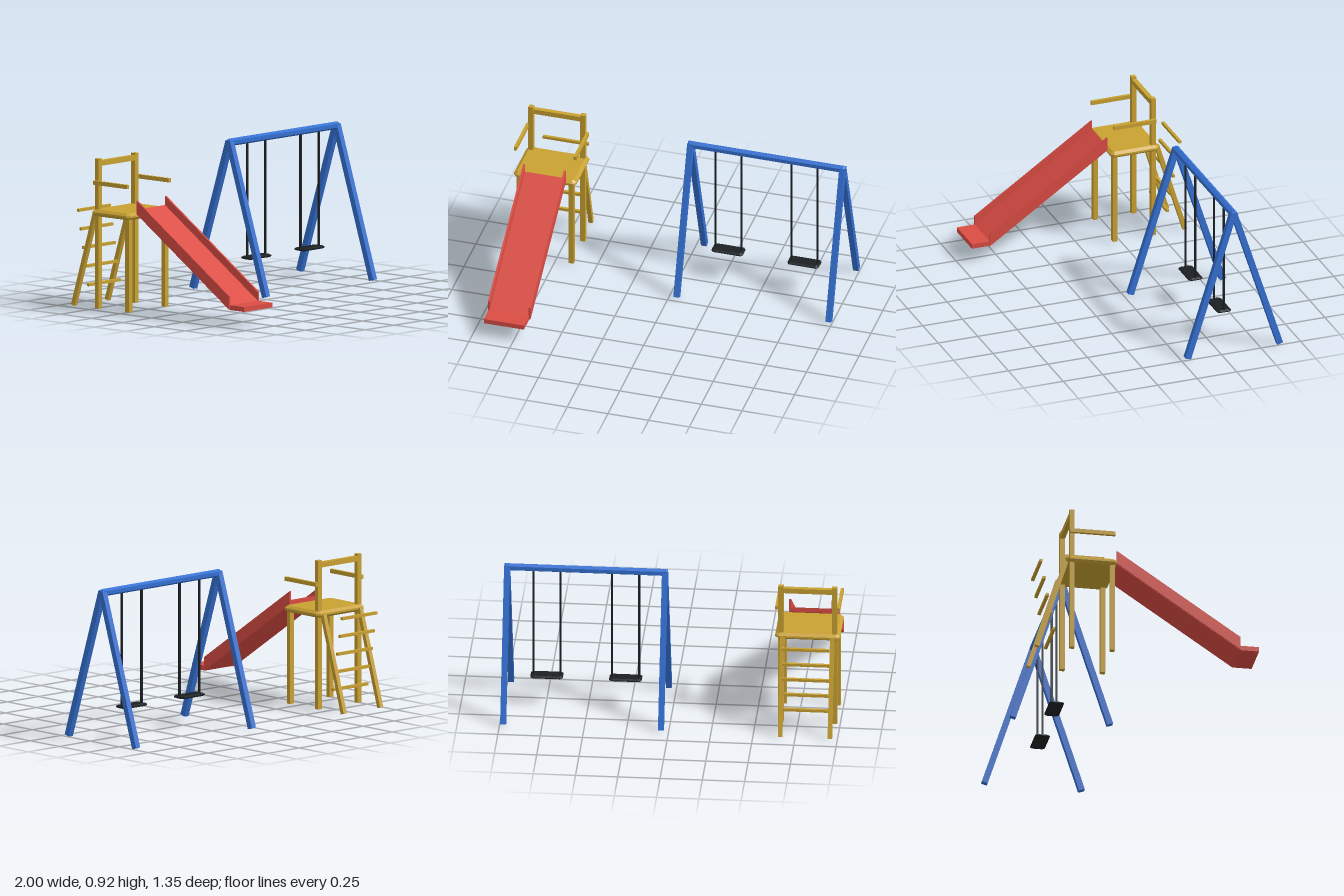
import * as THREE from 'three';

export function createModel() {
  const material = (name, color) => {
    const m = new THREE.MeshStandardMaterial({ color, flatShading: true });
    m.name = name;
    return m;
  };
  const blue = material('blue frame paint', 0x3470d2);
  const yellow = material('yellow tower paint', 0xc9a132);
  const red = material('red slide', 0xda4c43);
  const black = material('black rubber', 0x1c2023);

  const model = new THREE.Group();
  model.name = 'playground';
  const group = (name) => {
    const g = new THREE.Group();
    g.name = name;
    model.add(g);
    return g;
  };
  const add = (parent, name, geometry, mat) => {
    const mesh = new THREE.Mesh(geometry, mat);
    mesh.name = name;
    parent.add(mesh);
    return mesh;
  };
  // Box given by its size and centre
  const box = (parent, name, mat, w, h, d, x, y, z) => {
    const mesh = add(parent, name, new THREE.BoxGeometry(w, h, d), mat);
    mesh.position.set(x, y, z);
    return mesh;
  };
  // Square bar leaning in the yz plane, from foot to top
  const leaningBar = (parent, name, mat, w, d, x, y0, z0, y1, z1) => {
    const length = Math.hypot(y1 - y0, z1 - z0);
    const mesh = box(parent, name, mat, w, length, d, x, (y0 + y1) / 2, (z0 + z1) / 2);
    mesh.rotation.x = Math.atan2(z1 - z0, y1 - y0);
    return mesh;
  };
  // Flat slab with chamfered edges and clipped corners
  const slab = (parent, name, mat, w, h, d, bevel, x, y, z) => {
    const a = w / 2 - bevel, b = d / 2 - bevel, c = bevel * 0.5;
    const shape = new THREE.Shape([
      [-a + c, -b], [a - c, -b], [a, -b + c], [a, b - c],
      [a - c, b], [-a + c, b], [-a, b - c], [-a, -b + c],
    ].map(([px, py]) => new THREE.Vector2(px, py)));
    const thickness = h * 0.36;
    const g = new THREE.ExtrudeGeometry(shape, {
      depth: h - 2 * thickness, bevelThickness: thickness, bevelSize: bevel, bevelSegments: 1,
    });
    g.rotateX(-Math.PI / 2).center();
    add(parent, name, g, mat).position.set(x, y, z);
  };
  // Side profile of [z, y] points extruded across x
  const sideProfile = (parent, name, mat, points, x0, x1) => {
    const shape = new THREE.Shape(points.map(([z, y]) => new THREE.Vector2(-z, y)));
    const g = new THREE.ExtrudeGeometry(shape, { depth: x1 - x0, bevelEnabled: false });
    g.rotateY(Math.PI / 2).translate(x0, 0, 0);
    add(parent, name, g, mat);
  };

  // Swing frame: hexagonal beam with chamfered ends and two A-frames
  const swing = group('swingSet');
  const swingZ = -0.333;
  const r = 0.023, beamLength = 0.966;
  const beamProfile = [[0, 0], [r * 0.65, 0], [r, 0.01], [r, beamLength - 0.01], [r * 0.65, beamLength], [0, beamLength]]
    .map(([px, py]) => new THREE.Vector2(px, py));
  const beam = add(swing, 'topBeam', new THREE.LatheGeometry(beamProfile, 6, Math.PI / 2), blue);
  beam.rotation.z = -Math.PI / 2;
  beam.position.set(0.029, 0.899, swingZ);
  for (const x of [0.0455, 0.979]) {
    for (const s of [-1, 1]) {
      leaningBar(swing, 'frameLeg', blue, 0.034, 0.036, x, 0.006, swingZ + s * 0.291, 0.908, swingZ);
    }
  }

  // Two swings, each a seat on two ropes
  for (const x of [0.278, 0.744]) {
    slab(swing, 'swingSeat', black, 0.192, 0.018, 0.088, 0.012, x, 0.194, swingZ);
    for (const s of [-1, 1]) {
      box(swing, 'swingRope', black, 0.011, 0.69, 0.011, x + s * 0.08, 0.545, swingZ);
    }
  }

  // Tower: posts, platform, back rail and side handrails
  const tower = group('tower');
  const towerX = -0.809;
  slab(tower, 'platform', yellow, 0.384, 0.04, 0.307, 0.018, towerX, 0.58, -0.335);
  for (const s of [-1, 1]) {
    const x = towerX + s * 0.159;
    box(tower, 'frontPost', yellow, 0.031, 0.565, 0.029, x, 0.2925, -0.212);
    box(tower, 'backPost', yellow, 0.031, 0.892, 0.029, x, 0.456, -0.454);
    box(tower, 'handrail', yellow, 0.018, 0.024, 0.27, towerX + s * 0.183, 0.76, -0.332);
  }
  box(tower, 'backRail', yellow, 0.318, 0.031, 0.028, towerX, 0.874, -0.454);

  // Ladder: leaning rails, rungs stepping outwards as they rise
  const ladder = group('ladder');
  for (const s of [-1, 1]) {
    leaningBar(ladder, 'ladderRail', yellow, 0.026, 0.026, towerX + s * 0.147, 0.008, -0.66, 0.58, -0.484);
  }
  for (let i = 0; i < 5; i++) {
    box(ladder, 'ladderRung', yellow, 0.28, 0.017, 0.017, towerX, 0.137 + i * 0.109, -0.556 - i * 0.0195);
  }

  // Slide: sloping bed, side walls and flat run-out
  const slide = group('slide');
  const topZ = -0.178, footZ = 0.563;
  sideProfile(slide, 'slideBed', red,
    [[topZ, 0.593], [topZ, 0.622], [footZ, 0.125], [0.675, 0.125], [0.675, 0.096], [footZ, 0.096]].reverse(),
    -0.93, -0.684);
  for (const x of [-0.938, -0.688]) {
    sideProfile(slide, 'slideWall', red,
      [[topZ, 0.595], [footZ, 0.098], [footZ, 0.178], [topZ, 0.676]], x, x + 0.012);
  }
  return model;
}
